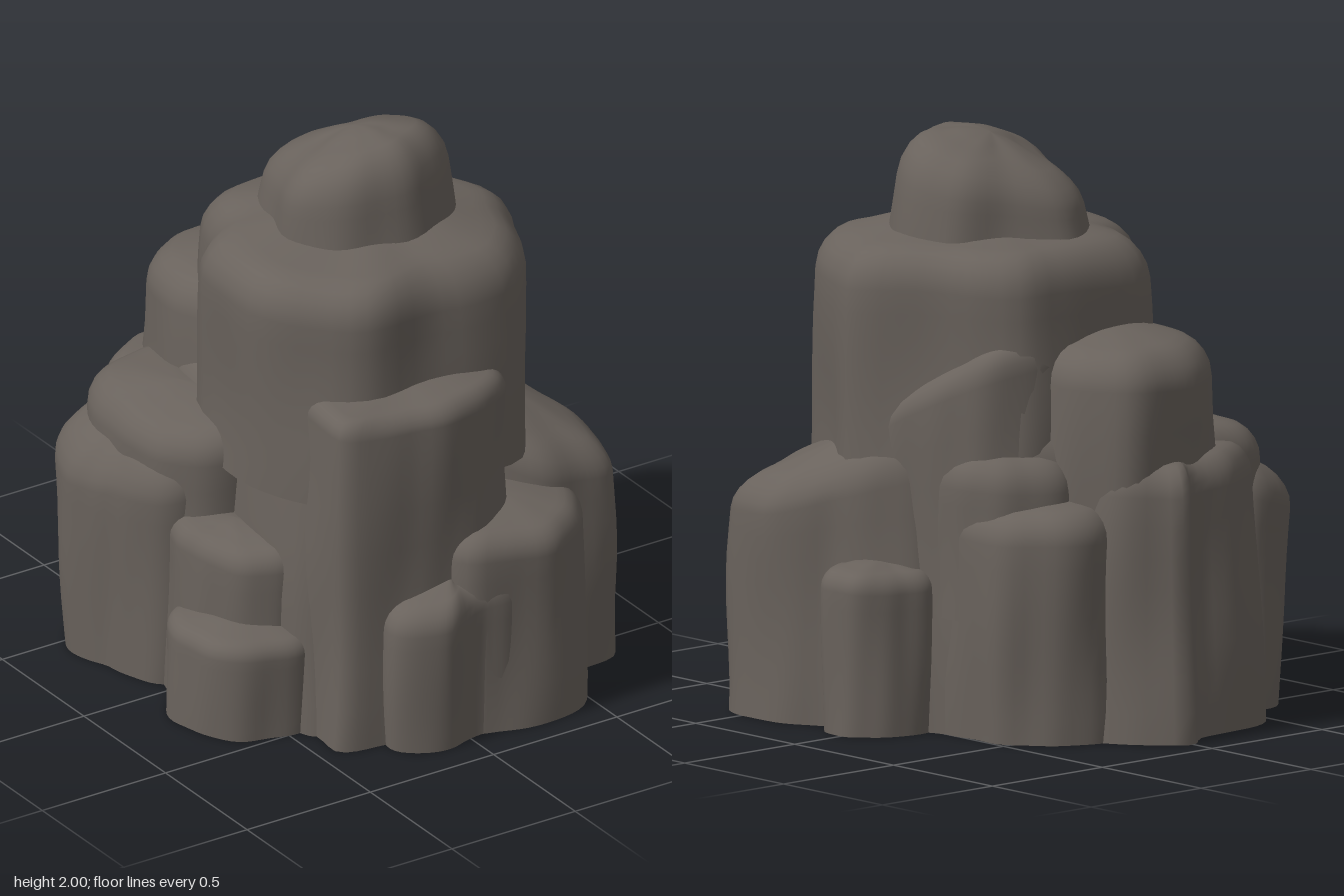
import * as THREE from 'three';

const SIDES = 56;

// A weathered boulder: a closed [x, z] outline raised from y0 to y1 with a rounded top.
// foot / head scale the outline at bottom and top; tiltX / tiltZ slope the top; dome swells it.
function boulder(outline, y0, y1, { round = 0.1, foot = 1, head = 0.95, tiltX = 0, tiltZ = 0, dome = 0.02, seed = 0 } = {}) {
  const curve = new THREE.CatmullRomCurve3(outline.map(([x, z]) => new THREE.Vector3(x, 0, z)), true);
  let loop = curve.getSpacedPoints(SIDES).slice(0, SIDES);
  let area = 0;
  loop.forEach((p, i) => {
    const q = loop[(i + 1) % SIDES];
    area += p.x * q.z - q.x * p.z;
  });
  if (area < 0) loop = loop.reverse();
  const cx = loop.reduce((s, p) => s + p.x, 0) / SIDES;
  const cz = loop.reduce((s, p) => s + p.z, 0) / SIDES;

  // Rings as [height, inset, shrink]: wall, rounded shoulder, shallow dome
  const rings = [];
  const wallTop = y1 - dome - round;
  for (let i = 0; i <= 8; i++) rings.push([y0 + (wallTop - y0) * i / 8, 0, 1]);
  for (let i = 1; i <= 5; i++) {
    const a = i / 5 * Math.PI / 2;
    rings.push([wallTop + round * Math.sin(a), round * (1 - Math.cos(a)), 1]);
  }
  rings.push([y1 - dome * 0.45, round, 0.7], [y1 - dome * 0.1, round, 0.35], [y1, round, 0.002]);

  const pos = [], index = [];
  const addRing = ([y, inset, shrink]) => {
    const f = (y - y0) / (y1 - y0);
    for (const p of loop) {
      const dx = p.x - cx, dz = p.z - cz, d = Math.hypot(dx, dz), a = Math.atan2(dz, dx);
      const wear = Math.min(1, d / 0.4) * (0.004 * Math.sin(9 * a + seed + 3 * y)
        + 0.007 * Math.sin(5 * a - 5 * y + seed * 2) + 0.008 * Math.sin(7 * y + seed + 2 * a));
      const s = Math.max(0, (d - inset + wear) / d) * shrink * (foot + (head - foot) * f);
      const x = dx * s, z = dz * s;
      const bump = 0.01 * Math.sin(9 * x + seed) * Math.sin(8 * z + seed) * f;
      pos.push(cx + x, y + (tiltX * x + tiltZ * z) * f * f + bump, cz + z);
    }
  };
  rings.forEach(addRing);
  for (let r = 0; r < rings.length - 1; r++) {
    for (let j = 0; j < SIDES; j++) {
      const k = (j + 1) % SIDES, a = r * SIDES, c = a + SIDES;
      index.push(a + j, c + j, a + k, a + k, c + j, c + k);
    }
  }
  // Flat underside with its own corners, so the rim stays sharp
  const base = pos.length / 3;
  addRing(rings[0]);
  pos.push(cx, y0, cz);
  for (let j = 0; j < SIDES; j++) index.push(base + SIDES, base + j, base + (j + 1) % SIDES);

  const geo = new THREE.BufferGeometry();
  geo.setAttribute('position', new THREE.Float32BufferAttribute(pos, 3));
  geo.setIndex(index);
  geo.computeVertexNormals();
  return geo;
}

export function createModel() {
  const group = new THREE.Group();
  group.name = 'rockFormation';
  const stone = new THREE.MeshStandardMaterial({ color: 0x69625c });
  stone.name = 'stone';
  let seed = 0;
  const add = (name, outline, y0, y1, options = {}) => {
    const mesh = new THREE.Mesh(boulder(outline, y0, y1, { seed: seed += 1.7, ...options }), stone);
    mesh.name = name;
    group.add(mesh);
  };

  // Summit and upper tier
  add('summit', [[-.25, .1], [-.2, -.05], [-.15, -.19], [0, -.28], [.16, -.18], [.34, -.06], [.36, .17],
    [.3, .27], [.12, .36], [-.08, .34], [-.2, .25]], 1.45, 1.97,
  { round: .14, foot: 1.16, head: .9, tiltZ: .32, tiltX: .14, dome: .03 });
  add('upperTier', [[-.51, 0], [-.48, -.12], [-.38, -.22], [-.28, -.4], [-.1, -.46], [.2, -.45], [.33, -.43],
    [.43, -.3], [.48, -.17], [.57, -.02], [.64, .15], [.59, .28], [.48, .5], [.37, .62], [.2, .64], [.05, .62],
    [-.25, .63], [-.42, .48], [-.51, .3]], .85, 1.7, { round: .15, foot: .98, head: .95, dome: .05 });

  // Inner mass under the tier
  add('core', [[-.47, 0], [-.4, -.45], [0, -.6], [.35, -.45], [.52, -.1], [.53, .25], [.4, .53], [0, .62],
    [-.42, .55]], 0, 1.1, { round: .15, foot: 1.02, head: .93 });
  add('rightRidge', [[.56, .08], [.52, -.15], [.45, -.34], [.3, -.43], [.1, -.42], [0, 0], [.3, .2]], 0, 1.24,
    { round: .12, tiltZ: -.65, foot: 1.02, head: .98 });

  // Back
  add('backTier', [[-.41, -.45], [-.34, -.66], [-.2, -.74], [-.05, -.77], [.13, -.73], [.23, -.55], [.26, -.4],
    [.2, -.1], [-.3, -.1]], 0, 1.36, { round: .13, foot: 1.04, head: .94, tiltZ: .06 });
  add('backBase', [[-.57, -.62], [-.48, -.74], [-.35, -.82], [-.1, -.83], [0, -.9], [.08, -.84], [.17, -.77],
    [.23, -.65], [.25, -.3], [0, -.2], [-.55, -.25]], 0, .97, { round: .11, head: .85 });
  add('rightBackBase', [[.5, -.15], [.51, -.32], [.5, -.47], [.43, -.57], [.35, -.65], [.2, -.69], [0, -.5],
    [.1, -.1], [.4, 0]], 0, .82, { round: .11, foot: .96, head: 1 });
  add('rightBackShoulder', [[.5, -.15], [.49, -.36], [.4, -.48], [.2, -.52], [.1, -.2], [.3, .05]], .4, .99,
    { round: .12, head: 1 });

  // Left side
  add('leftBackBlock', [[-.68, -.4], [-.62, -.57], [-.5, -.63], [-.3, -.6], [-.2, -.3], [-.3, .1], [-.55, .09],
    [-.64, -.04], [-.68, -.2]], 0, 1.01, { round: .12, foot: .97, head: 1, tiltX: .12 });
  add('leftBackLobe', [[-.8, -.42], [-.76, -.54], [-.67, -.62], [-.55, -.62], [-.45, -.4], [-.5, .02], [-.66, -.02],
    [-.75, -.25]], 0, .88, { round: .14, foot: .88, head: 1.03, tiltX: .5 });
  add('leftMidBlock', [[-.66, .03], [-.64, .2], [-.56, .36], [-.43, .42], [-.3, .2], [-.4, -.1], [-.6, -.1]],
    0, .67, { round: .08, head: 1 });
  add('leftLowBlock', [[-.76, .2], [-.71, .07], [-.55, 0], [-.35, .1], [-.35, .45], [-.45, .51], [-.6, .48],
    [-.7, .41]], 0, .38, { round: .06, head: 1 });

  // Front
  add('frontColumn', [[-.42, .6], [-.41, .69], [-.25, .74], [0, .78], [.16, .75], [.28, .67], [.29, .45], [.2, .3],
    [-.36, .3], [-.42, .45]], 0, 1.26, { round: .07, foot: 1.01, head: .98 });
  add('frontBase', [[-.03, .72], [.02, .83], [.1, .86], [.2, .89], [.35, .9], [.49, .82], [.58, .66], [.58, .4],
    [0, .4]], 0, .75, { round: .09, foot: 1.01, head: .97 });
  add('frontLowBlock', [[-.28, .77], [-.22, .86], [-.1, .9], [.02, .86], [.2, .86], [.25, .6], [-.2, .6]],
    0, .58, { round: .1, foot: .95, head: .97, tiltX: .1 });

  // Right side
  add('rightFrontBlock', [[.74, .63], [.78, .55], [.79, .45], [.79, .33], [.71, .18], [.62, 0], [.5, -.12],
    [.35, -.1], [.3, .5], [.45, .64], [.6, .65]], 0, .95,
  { round: .13, head: .98, tiltX: -.35, tiltZ: -.24 });
  add('rightLowBlock', [[.78, .1], [.78, -.04], [.66, -.13], [.5, -.15], [.4, 0], [.5, .18], [.68, .17]],
    0, .58, { round: .07, foot: .99, head: 1 });

  return group;
}
